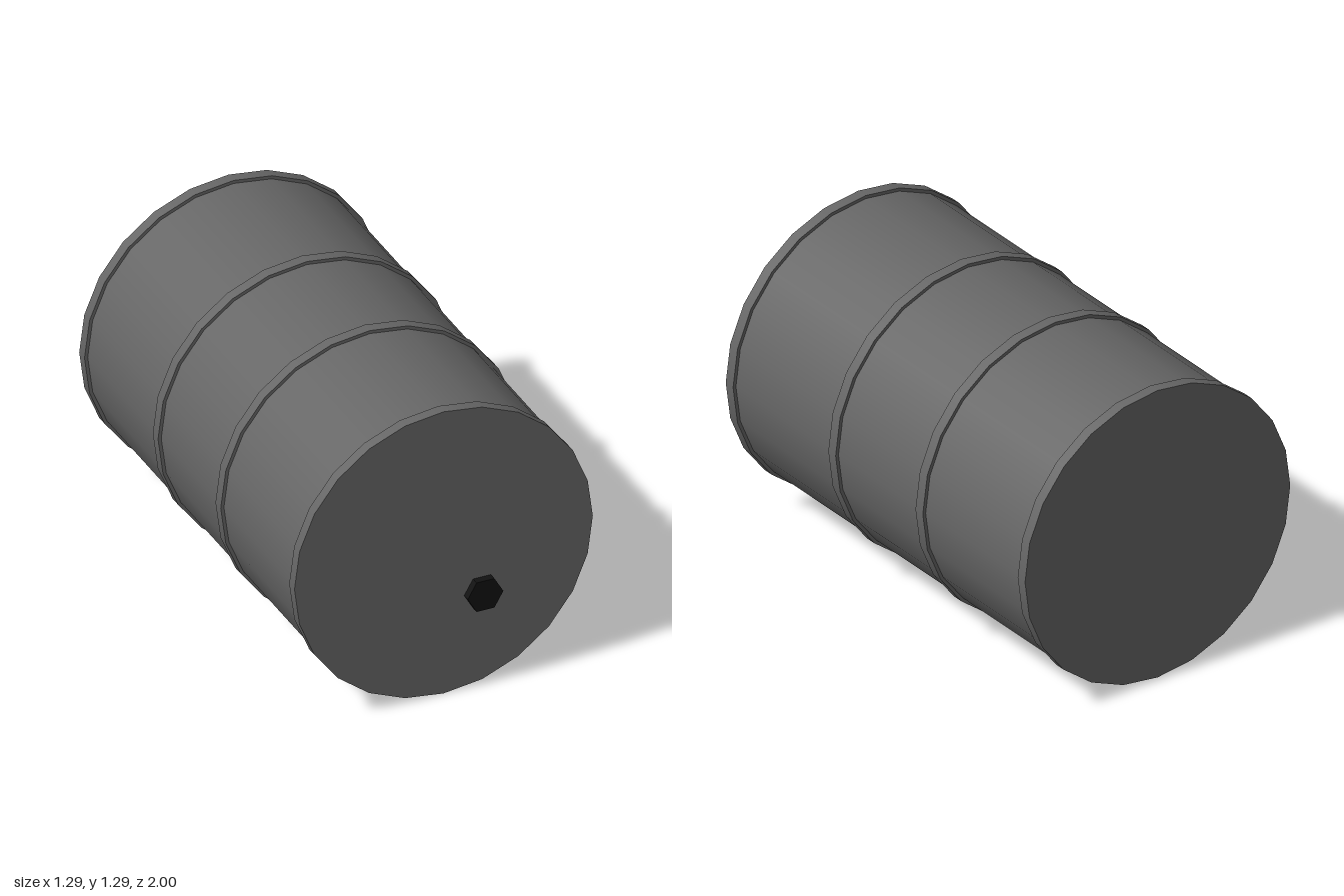
import * as THREE from 'three';

const AXIS_Y = 0.646; // height of the drum's axis

export function createModel() {
  const group = new THREE.Group();
  const steel = new THREE.MeshStandardMaterial({ color: 0x666666 });
  const black = new THREE.MeshStandardMaterial({ color: 0x111111 });

  // Capped cylinder lying along z, from z0 to z1
  function addDisc(name, radius, z0, z1, sides, material, x = 0, y = AXIS_Y, thetaStart = 0) {
    const geometry = new THREE.CylinderGeometry(radius, radius, z1 - z0, sides, 1, false, thetaStart);
    geometry.rotateX(Math.PI / 2);
    const mesh = new THREE.Mesh(geometry, material);
    mesh.name = name;
    mesh.position.set(x, y, (z0 + z1) / 2);
    group.add(mesh);
    return mesh;
  }

  // Drum shell, ending just inside the two rims
  addDisc('drumBody', 0.632, -0.99, 0.957, 24, steel);

  // End rims (which close the drum) and the two rolling hoops
  const hoops = [['frontRim', 0.943], ['frontHoop', 0.269], ['backHoop', -0.304], ['backRim', -0.976]];
  for (const [name, z] of hoops) addDisc(name, 0.646, z - 0.024, z + 0.024, 24, steel);

  // Hexagonal filler plug, with corners pointing sideways
  const plug = addDisc('fillerPlug', 0.077, 0.96, 1.0, 6, black, 0.166, 0.425, Math.PI / 6);
  plug.geometry = plug.geometry.toNonIndexed();
  plug.geometry.computeVertexNormals();

  return group;
}
